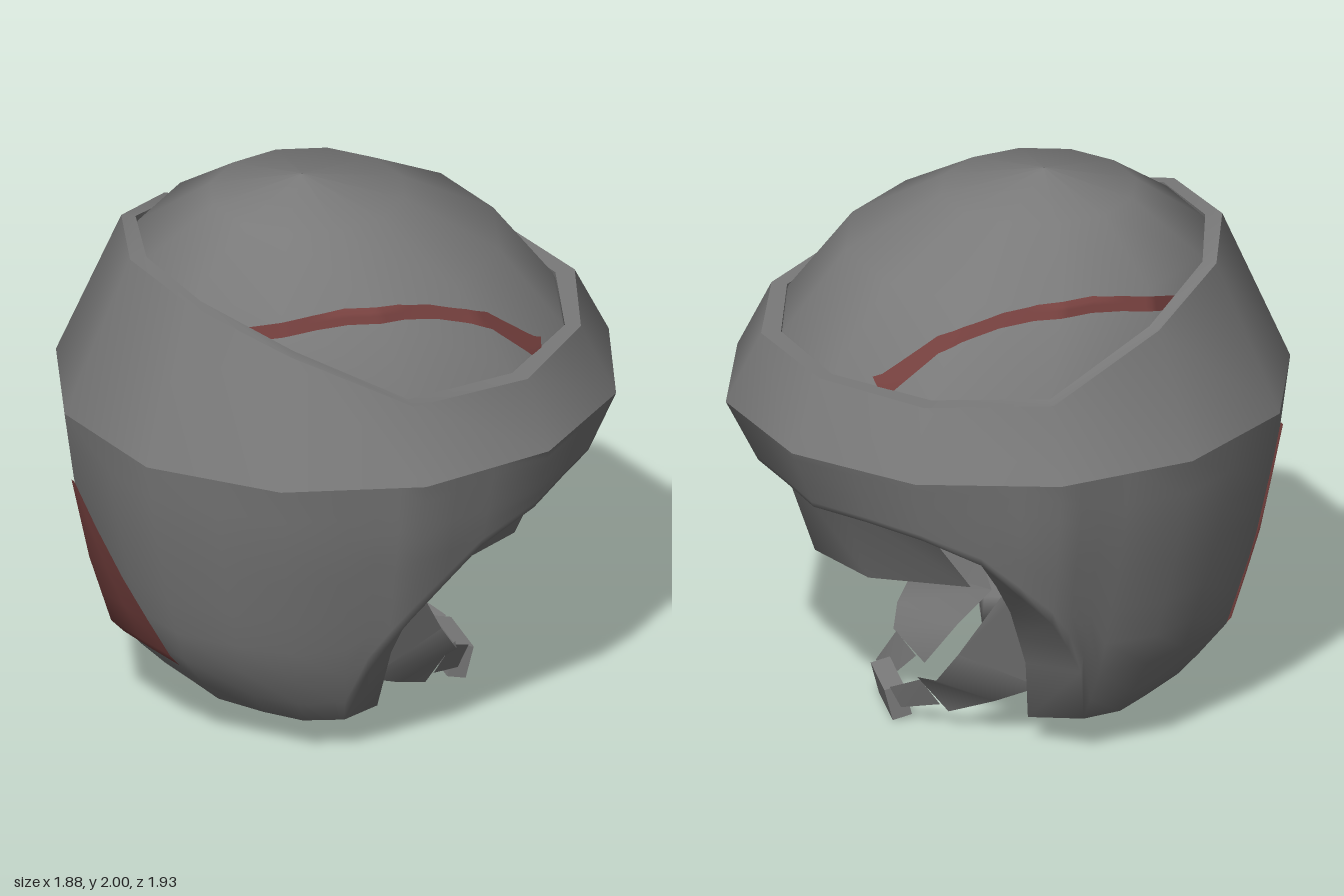
import * as THREE from 'three';

const gray = new THREE.MeshStandardMaterial({ color: 0x7a7a7a, side: THREE.DoubleSide });
gray.name = 'shell gray';
const red = new THREE.MeshStandardMaterial({ color: 0x75403e, side: THREE.DoubleSide });
red.name = 'dull red';

const range = (n, f) => Array.from({ length: n }, (_, i) => f(i));
const lerp = THREE.MathUtils.lerp;

// linear lookup in a list of [key, value] pairs, keys rising
function lookup(pairs, k) {
  for (let i = 1; i < pairs.length; i++) {
    const [k0, v0] = pairs[i - 1], [k1, v1] = pairs[i];
    if (k <= k1) return lerp(v0, v1, Math.max(0, (k - k0) / (k1 - k0)));
  }
  return pairs[pairs.length - 1][1];
}

// folds any angle to 0..180 degrees away from the face direction
const fold = (deg) => { const a = ((deg % 360) + 360) % 360; return a > 180 ? 360 - a : a; };

// point on a twelve-sided ring, slightly longer than wide; the radius is given at every 30 degrees
function ringPoint(deg, y, radiusAt, grow = 0, shift = 0) {
  const a0 = Math.floor(deg / 30 + 1e-6) * 30, d = THREE.MathUtils.degToRad(Math.max(0, deg - a0));
  const r0 = radiusAt(fold(a0)), r1 = radiusAt(fold(a0 + 30));
  const m0 = Math.sin(d) * r0, m1 = Math.sin(Math.PI / 6 - d) * r1;
  const r = r0 * r1 * 0.5 / (m0 + m1) + grow;
  const a = THREE.MathUtils.degToRad(deg);
  return [r * Math.sin(a), y, 1.04 * r * Math.cos(a) + shift];
}

// smooth skin over rows of points, top row first
function skin(name, rows, material, closed = false) {
  const n = rows[0].length, index = [];
  for (let i = 0; i < rows.length - 1; i++) {
    for (let j = 0; j < (closed ? n : n - 1); j++) {
      const k = (j + 1) % n;
      const a = i * n + j, b = i * n + k, c = a + n, d = b + n;
      index.push(a, c, d, a, d, b);
    }
  }
  const g = new THREE.BufferGeometry();
  g.setAttribute('position', new THREE.Float32BufferAttribute(rows.flat(2), 3));
  g.setIndex(index);
  g.computeVertexNormals();
  const mesh = new THREE.Mesh(g, material);
  mesh.name = name;
  return mesh;
}

// values at every 30 degrees from face to back
const byAngle = (list) => (deg) => list[Math.round(deg / 30)];
const rimRadius = byAngle([0.957, 0.952, 0.947, 0.94, 0.942, 0.961, 0.962]);
const bandOuter = byAngle([0.837, 0.832, 0.852, 0.81, 0.772, 0.738, 0.731]);
const bandInner = byAngle([0.769, 0.777, 0.782, 0.75, 0.723, 0.689, 0.673]);
const bandTop = byAngle([1.46, 1.46, 1.46, 1.46, 1.65, 1.75, 1.77]);

// vertical profiles of the lower shell as shares of the rim radius
const backProfile = [[0.09, 0.52], [0.16, 0.61], [0.25, 0.7], [0.38, 0.82], [0.64, 0.9], [0.95, 0.965], [1.21, 1]];
const sideProfile = [[0.09, 0.59], [0.16, 0.63], [0.38, 0.75], [0.64, 0.84], [0.95, 0.94], [1.21, 1]];
const faceProfile = [[0.95, 0.87], [1.21, 1]];
const lowerEdge = [[0, 0.98], [45, 0.98], [60, 0.97], [73, 0.87], [90, 0.62], [100, 0.38], [106, 0.14], [135, 0.14], [150, 0.17], [180, 0.18]];
// the inner wall is thick at the cheeks, where it also reaches forward; its lip sits lower
const cheekShare = [[0.1, 0.74], [0.35, 0.7], [0.6, 0.72], [0.9, 0.82], [1.21, 0.84]];
const cheekReach = [[0.1, 0.14], [0.6, 0.11], [0.95, 0.02], [1.21, 0]];
const lipDrop = [[0, 0.03], [110, 0.04], [140, 0.05], [180, 0.08]];

function shellPoint(deg, y, grow = 0, share = 1) {
  const c = Math.cos(THREE.MathUtils.degToRad(deg));
  const ratio = lerp(lookup(sideProfile, y), lookup(c > 0 ? faceProfile : backProfile, y), c * c);
  return ringPoint(deg, y, (a) => rimRadius(a) * ratio * share, grow);
}

function innerPoint(deg, y) {
  const s = Math.sin(THREE.MathUtils.degToRad(deg));
  const p = shellPoint(deg, y, 0, lerp(0.84, lookup(cheekShare, y), s * s));
  p[1] -= lookup(lipDrop, fold(deg));
  p[2] += lookup(cheekReach, y) * s * s;
  return p;
}

// outer shell, rolled lip and inner wall in one skin
function buildShell() {
  const half = [0, 15, 30, 45, 60, 73, 82, 90, 95, 100, 106, 120, 135, 150, 165];
  const cols = [...half, 180, ...half.slice(1).reverse().map((a) => 360 - a)];
  const levels = [1.21, 1.08, 0.95, 0.8, 0.64, 0.5, 0.38, 0.25, 0.16];
  const row = (level, point) => cols.map((deg) =>
    point(deg, lerp(1.21, lookup(lowerEdge, fold(deg)), (1.21 - level) / 1.05)));
  const outer = levels.map((l) => row(l, (deg, y) => shellPoint(deg, y)));
  const inner = levels.slice().reverse().map((l) => row(l, innerPoint));
  const top = cols.map((deg) => ringPoint(deg, 1.45, (a) => bandInner(a) - 0.01));
  return skin('shell', [...outer, ...inner, top], gray, true);
}

// raised band around the crown
function buildBand() {
  const band = new THREE.Group();
  band.name = 'crownBand';
  const ring = (radius, height) => range(12, (i) => ringPoint(i * 30, height(fold(i * 30)), radius));
  const outer = ring(bandOuter, bandTop), inner = ring(bandInner, bandTop);
  band.add(
    skin('bandOutside', [outer, ring(rimRadius, () => 1.21)], gray, true),
    skin('bandTop', [inner, outer], gray, true),
    skin('bandInside', [ring(bandInner, (a) => bandTop(a) - 0.1), inner], gray, true),
  );
  return band;
}

// crown dome: height, radius, shift towards the face
const domeRadius = byAngle([0.76, 0.77, 0.772, 0.745, 0.752, 0.75, 0.745]);
function domePoint(deg, y, grow = 0) {
  const share = lookup([[1.4, 1.03], [1.46, 1], [1.75, 0.81], [1.93, 0.435], [2, 0.002]], y);
  const shift = lookup([[1.46, 0], [1.75, -0.07], [1.93, -0.11], [2, -0.13]], y);
  const even = lookup([[1.46, 0], [1.75, 1]], y);
  return ringPoint(deg, y, (a) => lerp(domeRadius(a), 0.762, even) * share, grow, shift);
}

function buildDome() {
  const rows = [2, 1.93, 1.75, 1.46, 1.4].map((y) => range(12, (i) => domePoint(i * 30, y)));
  return skin('crownDome', rows, gray, true);
}

// curved stripe on each side of the dome
function buildStripe(side) {
  const path = [[45, 1.46], [51, 1.55], [56, 1.62], [62, 1.66], [72, 1.705], [82, 1.73], [90, 1.738], [100, 1.738], [110, 1.725], [120, 1.705], [132, 1.665]];
  const rows = range(5, (i) => {
    const t = 1 - i / 2;
    return range(45, (j) => {
      const a = 44 + j * 2;
      const lean = 3 * Math.max(0, (65 - a) / 24);
      return domePoint(side * (a - t * lean), lookup(path, a) + t * 0.024, 0.012);
    });
  });
  return skin(side > 0 ? 'rightStripe' : 'leftStripe', rows, red);
}

// triangular mark low on the back
function buildBackMark() {
  const rows = [[0.95, 1], [0.8, 6], [0.64, 13], [0.5, 19], [0.38, 25], [0.33, 25]].map(([y, w]) =>
    range(5, (i) => shellPoint(180 + (i / 2 - 1) * w, y, 0.009)));
  return skin('backMark', rows, red);
}

// short visor under the brim
function buildVisor() {
  const mirrored = (half) => [...half.slice(1).reverse().map(([x, y, z]) => [-x, y, z]), ...half];
  return skin('visor', [
    mirrored([[0, 0.95, 0.79], [0.37, 0.95, 0.66], [0.62, 0.95, 0.42]]),
    mirrored([[0, 0.62, 0.68], [0.29, 0.63, 0.55], [0.55, 0.68, 0.24]]),
  ], gray);
}

// cheek strap with the link to the chin cup
function buildStrap(side) {
  const strap = new THREE.Group();
  strap.name = side > 0 ? 'rightStrap' : 'leftStrap';
  const at = (points) => points.map(([x, y, z]) => [x * side, y, z]);
  strap.add(
    skin('cheekStrap', [
      at([[0.5, 0.6, 0.08], [0.48, 0.6, 0.12]]),
      at([[0.42, 0.22, -0.03], [0.38, 0.35, 0.25]]),
    ], gray),
    skin('jawStrap', [
      at([[0.42, 0.22, -0.03], [0.38, 0.35, 0.25]]),
      at([[0.33, 0.14, 0.11], [0.34, 0.24, 0.32]]),
      at([[0.21, 0.06, 0.25], [0.21, 0.2, 0.36]]),
    ], gray),
    skin('chinLink', [
      at([[0.21, 0.19, 0.35], [0.12, 0.13, 0.44]]),
      at([[0.21, 0.09, 0.28], [0.12, 0.05, 0.4]]),
    ], gray),
  );
  return strap;
}

export function createModel() {
  const model = new THREE.Group();
  model.name = 'helmet';
  const helmet = new THREE.Group();
  helmet.name = 'helmetBody';
  helmet.add(buildShell(), buildBand(), buildDome(), buildBackMark(), buildVisor());
  for (const side of [1, -1]) helmet.add(buildStripe(side), buildStrap(side));

  // chin cup
  const cup = new THREE.Mesh(new THREE.BoxGeometry(0.24, 0.12, 0.07), gray);
  cup.name = 'chinCup';
  cup.position.set(0, 0.07, 0.41);
  cup.rotation.x = 0.25;
  helmet.add(cup);

  // the face is turned towards the back left
  helmet.rotation.y = THREE.MathUtils.degToRad(140);
  helmet.position.set(-0.01, 0, -0.01);
  model.add(helmet);
  return model;
}
